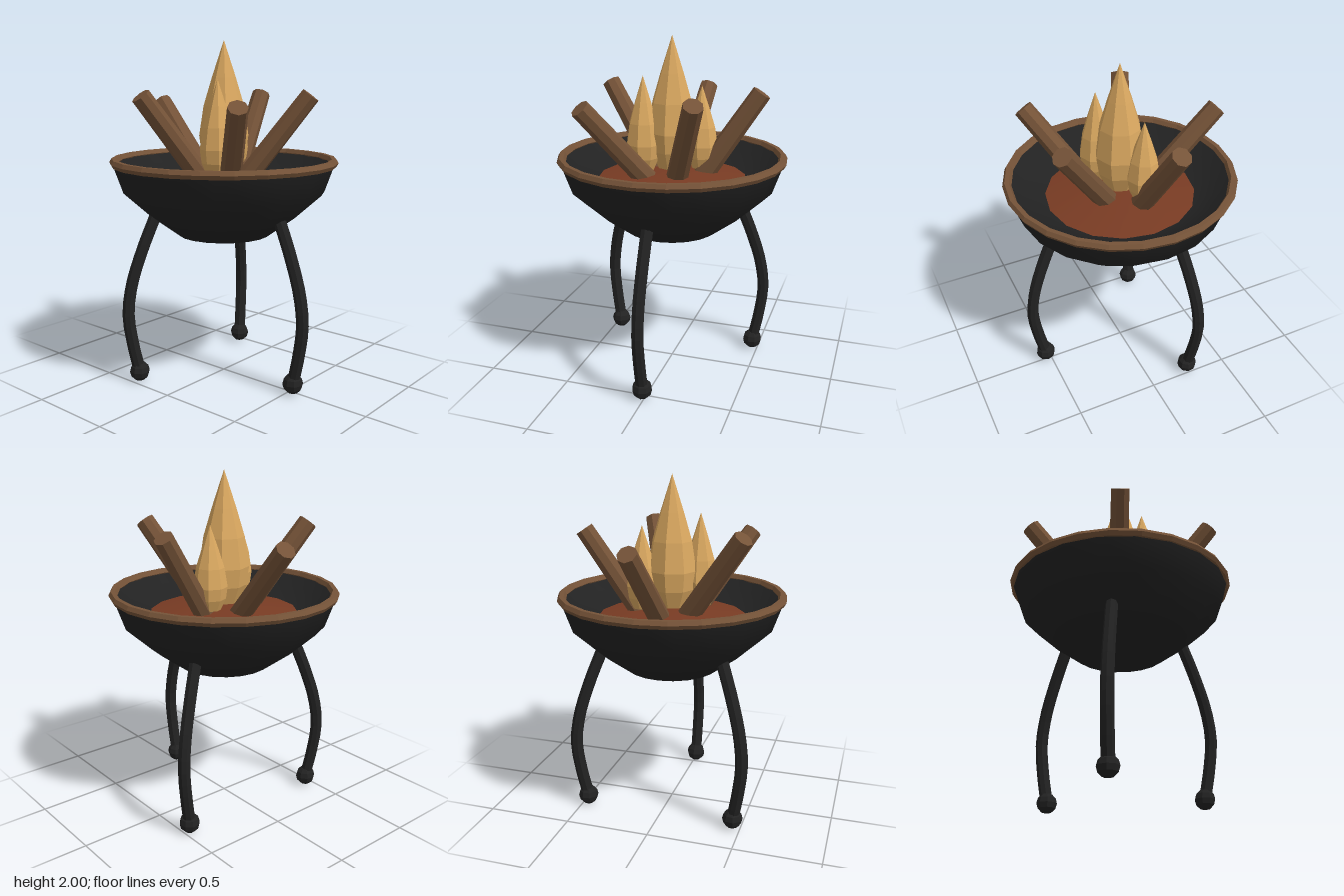
import * as THREE from 'three';

const material = (name, color) => {
  const m = new THREE.MeshStandardMaterial({ color });
  m.name = name;
  return m;
};

// Faceted version of a geometry
const facet = (geometry) => {
  const g = geometry.index ? geometry.toNonIndexed() : geometry;
  g.computeVertexNormals();
  return g;
};

const lathe = (points, sides) =>
  new THREE.LatheGeometry(points.map(([r, y]) => new THREE.Vector2(r, y)), sides);

export function createModel() {
  const iron = material('black iron', 0x222222);
  const wood = material('brown wood', 0x755338);
  const ember = material('ember red', 0x783b23);
  const fire = material('flame gold', 0xdaa860);

  const model = new THREE.Group();
  model.name = 'firePit';
  const add = (name, geometry, mat, parent = model) => {
    const mesh = new THREE.Mesh(geometry, mat);
    mesh.name = name;
    parent.add(mesh);
    return mesh;
  };

  // Bowl: outer shell, inner wall and rim
  add('bowlOuter', lathe([[0, 0.85], [0.27, 0.865], [0.44, 0.99], [0.595, 1.13], [0.655, 1.3]], 20), iron);
  add('bowlInner', lathe([[0.64, 1.31], [0.56, 1.25], [0.41, 1.165], [0, 1.1]], 20), iron);
  const rim = new THREE.TorusGeometry(0.645, 0.026, 6, 24);
  rim.rotateX(Math.PI / 2);
  add('rim', facet(rim), wood).position.y = 1.303;

  // Low bed of embers
  add('embers', lathe([[0.435, 1.185], [0.2, 1.225], [0, 1.235]], 16), ember);

  // Three bowed legs with ball feet
  const legCurve = new THREE.CatmullRomCurve3(
    [[0.405, 1.03], [0.5, 0.8], [0.565, 0.6], [0.59, 0.42], [0.565, 0.22], [0.53, 0.06]]
      .map(([r, y]) => new THREE.Vector3(r, y, 0)));
  for (let i = 0; i < 3; i++) {
    const leg = new THREE.Group();
    leg.name = 'leg' + (i + 1);
    leg.rotation.y = -(1.595 + (i * Math.PI * 2) / 3);
    add('legTube', facet(new THREE.TubeGeometry(legCurve, 14, 0.036, 8)), iron, leg);
    add('foot', facet(new THREE.SphereGeometry(0.06, 8, 6)), iron, leg).position.set(0.53, 0.06, 0);
    model.add(leg);
  }

  // Leaning logs, each from base to tip
  const logs = [
    [[0.02, 1.18, -0.15], [0.065, 1.64, -0.573]],
    [[-0.1, 1.18, -0.06], [-0.46, 1.69, -0.215]],
    [[0.165, 1.18, -0.045], [0.497, 1.685, -0.108]],
    [[0.055, 1.18, 0.1], [0.25, 1.69, 0.437]],
    [[-0.1, 1.18, 0.13], [-0.387, 1.64, 0.423]],
  ];
  const up = new THREE.Vector3(0, 1, 0);
  logs.forEach(([base, tip], i) => {
    const a = new THREE.Vector3(...base);
    const b = new THREE.Vector3(...tip);
    const log = add('log' + (i + 1), facet(new THREE.CylinderGeometry(0.056, 0.064, a.distanceTo(b), 8)), wood);
    log.position.copy(a).lerp(b, 0.5);
    log.quaternion.setFromUnitVectors(up, b.sub(a).normalize());
  });

  // Faceted flames: profile as fractions of radius and height
  const profile = [[0, 0], [0.6, 0.03], [0.9, 0.16], [1, 0.3], [0.82, 0.52], [0.48, 0.73], [0, 1]];
  const flame = (name, x, z, radius, top) => {
    const base = 1.22;
    const g = facet(lathe(profile.map(([r, h]) => [r * radius, h * (top - base)]), 8));
    add(name, g, fire).position.set(x, base, z);
  };
  flame('flameCentre', 0, 0, 0.145, 2);
  flame('flameRight', -0.148, 0.08, 0.102, 1.78);
  flame('flameLeft', 0.158, -0.07, 0.098, 1.715);

  return model;
}
